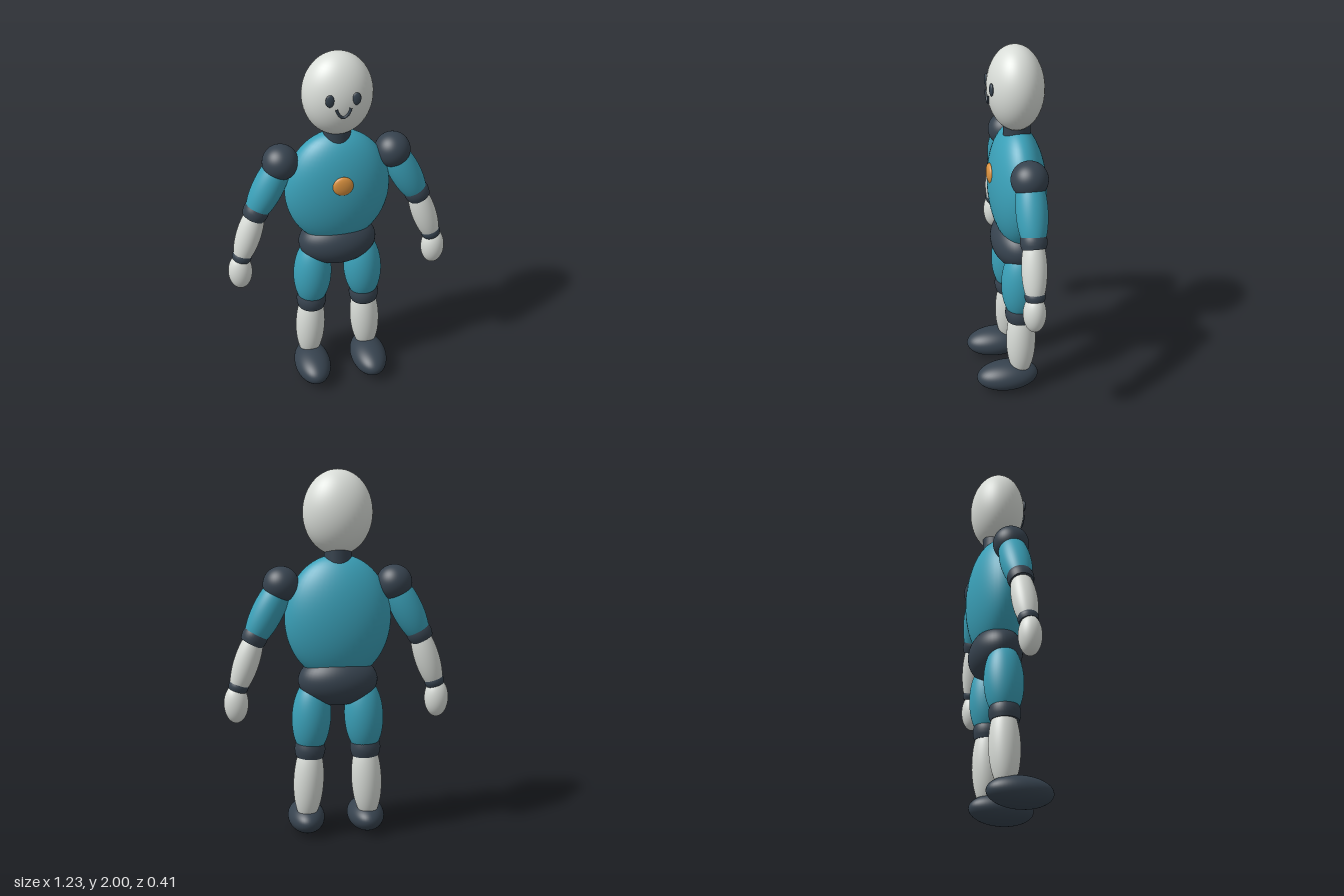
import * as THREE from 'three';

const mat = (name, color) => {
  const m = new THREE.MeshStandardMaterial({ color });
  m.name = name;
  return m;
};

export function createModel() {
  const model = new THREE.Group();
  model.name = 'figure';
  const teal = mat('teal', 0x3aa0b8);
  const dark = mat('slate', 0x36424e);
  const pale = mat('pale grey', 0xd9ddd8);
  const orange = mat('orange', 0xd9913f);

  const up = new THREE.Vector3(0, 1, 0);
  const ball = new THREE.SphereGeometry(1, 48, 32);

  const add = (name, geometry, material, pos) => {
    const mesh = new THREE.Mesh(geometry, material);
    mesh.name = name;
    mesh.position.set(...pos);
    model.add(mesh);
    return mesh;
  };

  // ellipsoid with its long axis turned to a direction
  const egg = (name, material, pos, radii, axis) => {
    const mesh = add(name, ball, material, pos);
    mesh.scale.set(...radii);
    if (axis) mesh.quaternion.setFromUnitVectors(up, new THREE.Vector3(...axis).normalize());
    return mesh;
  };

  // slightly bulging joint band with closed ends
  const band = (name, pos, r, length, axis) => {
    const h = length / 2;
    const points = [[0, -h], [r * 0.89, -h], [r * 0.89, -h], [r * 0.97, -h * 0.5], [r, 0],
      [r * 0.97, h * 0.5], [r * 0.89, h], [r * 0.89, h], [0, h]];
    const profile = points.map(([x, y]) => new THREE.Vector2(x, y));
    const mesh = add(name, new THREE.LatheGeometry(profile, 40), dark, pos);
    mesh.quaternion.setFromUnitVectors(up, new THREE.Vector3(...axis).normalize());
  };

  // body
  egg('head', pale, [0, 1.776, -0.045], [0.185, 0.224, 0.148]);
  add('neck', new THREE.CylinderGeometry(0.072, 0.072, 0.12, 40), dark, [0, 1.56, -0.053]);
  egg('torso', teal, [0, 1.218, -0.053], [0.285, 0.34, 0.152]);
  egg('pelvis', dark, [0, 0.882, -0.053], [0.215, 0.14, 0.14]);
  egg('chestButton', orange, [0, 1.3, 0.09], [0.055, 0.055, 0.02]);

  // smile laid along the head surface
  const onHead = (x, y) => new THREE.Vector3(x, y,
    -0.045 + 0.15 * Math.sqrt(1 - (x / 0.185) ** 2 - ((y - 1.776) / 0.224) ** 2));
  const smile = new THREE.CatmullRomCurve3(
    [[-0.037, 1.762], [-0.033, 1.745], [-0.018, 1.719], [0, 1.708], [0.018, 1.719], [0.033, 1.745], [0.037, 1.762]]
      .map(([x, y]) => onHead(x, y)));
  add('smile', new THREE.TubeGeometry(smile, 40, 0.007, 10), dark, [0, 0, 0]);

  // mirrored limbs and eyes
  for (const [side, s] of [['left', 1], ['right', -1]]) {
    egg(side + 'Eye', dark, [s * 0.068, 1.803, 0.092], [0.023, 0.034, 0.011]);

    const upperAxis = [s * -0.143, 0.28, -0.008];
    const foreAxis = [s * -0.09, 0.27, -0.01];
    egg(side + 'Shoulder', dark, [s * 0.302, 1.404, -0.055], [0.096, 0.096, 0.096]);
    egg(side + 'UpperArm', teal, [s * 0.371, 1.265, -0.052], [0.084, 0.225, 0.082], upperAxis);
    band(side + 'Elbow', [s * 0.443, 1.126, -0.047], 0.07, 0.074, upperAxis);
    egg(side + 'Forearm', pale, [s * 0.488, 0.99, -0.042], [0.068, 0.2, 0.066], foreAxis);
    band(side + 'Wrist', [s * 0.533, 0.856, -0.037], 0.054, 0.046, foreAxis);
    egg(side + 'Hand', pale, [s * 0.547, 0.76, -0.033], [0.066, 0.107, 0.06]);

    const legAxis = [s * -0.018, 0.37, -0.004];
    egg(side + 'Thigh', teal, [s * 0.143, 0.677, -0.047], [0.106, 0.217, 0.105], legAxis);
    band(side + 'Knee', [s * 0.152, 0.497, -0.045], 0.084, 0.086, legAxis);
    egg(side + 'Shin', pale, [s * 0.16, 0.317, -0.048], [0.083, 0.235, 0.082], legAxis);
    egg(side + 'Foot', dark, [s * 0.167, 0.085, 0.03], [0.102, 0.083, 0.175]);
  }
  return model;
}
